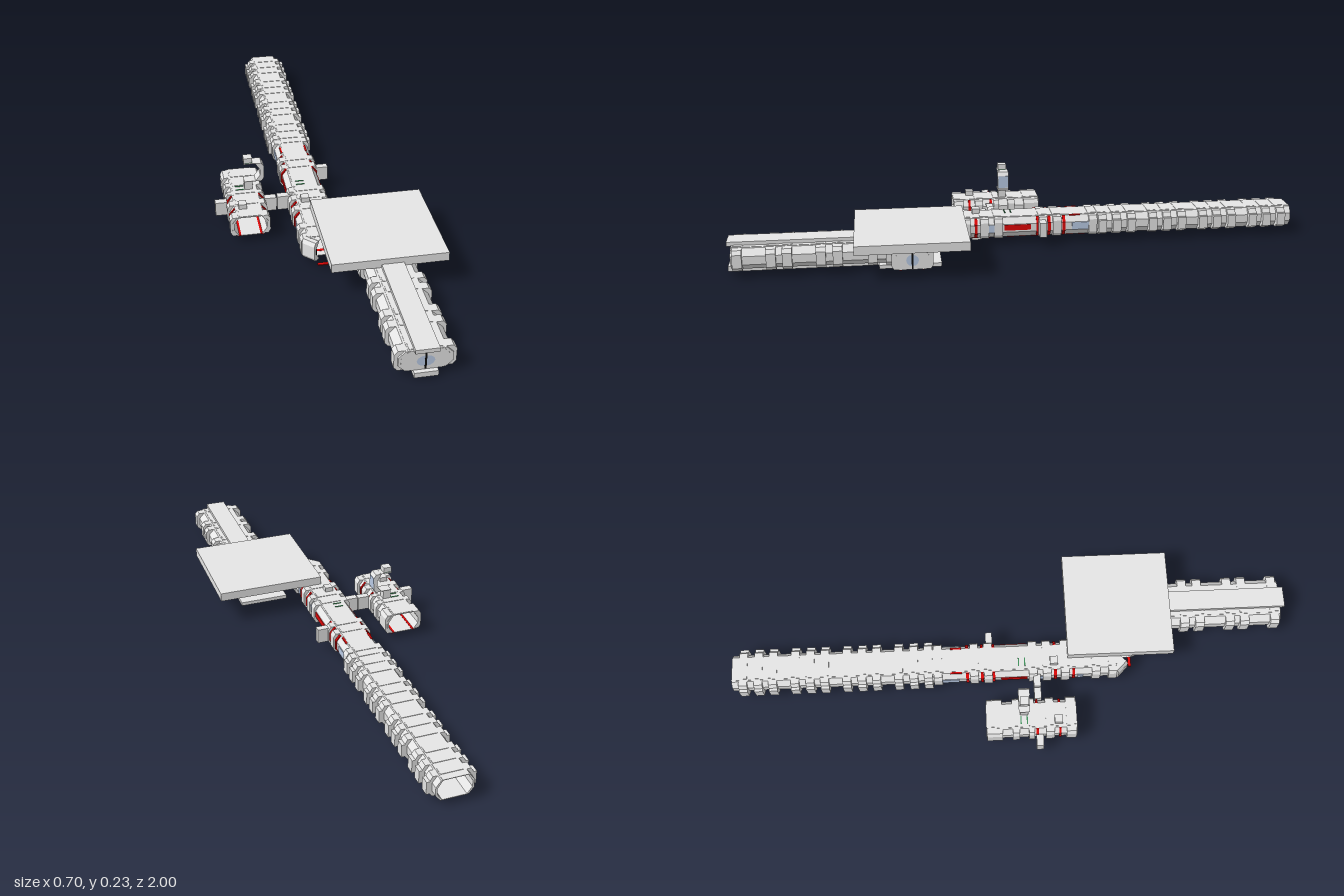
import * as THREE from 'three';

const paint = (name, color, side = THREE.FrontSide) => {
  const m = new THREE.MeshStandardMaterial({ color, side });
  m.name = name;
  return m;
};

export function createModel() {
  const root = new THREE.Group();
  root.name = 'modularStation';
  const grey = paint('hullGrey', 0xe6e6e6);
  const red = paint('markingRed', 0xe00606);
  const blue = paint('windowBlue', 0xbacbe6, THREE.DoubleSide);
  const black = paint('slitBlack', 0x0c0c0c);
  const green = paint('hatchGreen', 0x3f8f5a);
  const olive = paint('hatchOlive', 0x8a8432);

  // Box given by its limits on each axis
  const box = (parent, name, mat, x0, x1, y0, y1, z0, z1) => {
    const m = new THREE.Mesh(new THREE.BoxGeometry(x1 - x0, y1 - y0, z1 - z0), mat);
    m.position.set((x0 + x1) / 2, (y0 + y1) / 2, (z0 + z1) / 2);
    m.name = name;
    parent.add(m);
  };

  // Half cross-sections: thin wall skin, thick frame, and a band lying on the skin
  const inner = [[0.039, 0.026], [0.056, 0.05], [0.056, 0.072], [0.039, 0.098]];
  const outer = [[0.046, 0.098], [0.062, 0.076], [0.062, 0.047], [0.046, 0.026]];
  const skin = [...inner, ...outer];
  const frame = [...inner, [0.061, 0.098], [0.069, 0.085], [0.069, 0.039], [0.061, 0.026]];
  const strip = [...outer.slice().reverse(), [0.05, 0.098], [0.066, 0.078], [0.066, 0.045], [0.05, 0.026]];
  const wall = (parent, name, mat, pts, side, z0, z1, sx = 1) => {
    const shape = new THREE.Shape(pts.map(([x, y]) => new THREE.Vector2(side * sx * x, y)));
    const m = new THREE.Mesh(new THREE.ExtrudeGeometry(shape, { depth: z1 - z0, bevelEnabled: false }), mat);
    m.position.z = z0;
    m.name = name;
    parent.add(m);
  };
  // Frame rib on both walls with a raised panel across the ceiling
  const ring = (parent, z, w, sx = 1) => {
    [1, -1].forEach(s => wall(parent, 'frameRib', grey, frame, s, z - w / 2, z + w / 2, sx));
    box(parent, 'ceilingRib', grey, -0.037 * sx, 0.037 * sx, 0.098, 0.101, z - w / 2, z + w / 2);
  };
  const band = (parent, z, w) => [1, -1].forEach(s =>
    wall(parent, 'redBand', red, strip, s, z - w / 2, z + w / 2));
  const group = (name, x, z, turn = 0) => {
    const g = new THREE.Group();
    g.name = name;
    g.position.set(x, 0, z);
    g.rotation.y = turn;
    root.add(g);
    return g;
  };

  // Open tunnel: two walls, thin floor and thin ceiling
  const tunnel = (g, z0, z1, sx = 1) => {
    [1, -1].forEach(s => wall(g, 'tunnelWall', grey, skin, s, z0, z1, sx));
    box(g, 'tunnelFloor', grey, -0.041 * sx, 0.041 * sx, 0.025, 0.027, z0, z1);
    box(g, 'tunnelCeiling', grey, -0.041 * sx, 0.041 * sx, 0.0975, 0.0995, z0, z1);
  };
  // Red stripes along both floor edges, seen inside and underneath
  const redEdges = (g, z0, z1) => [1, -1].forEach(s =>
    box(g, 'redFloorEdge', red, s * 0.0385 - 0.0055, s * 0.0385 + 0.0055, 0.0242, 0.028, z0, z1));

  // Door: octagonal panel with oval window and central slit, facing +z or -z
  const door = (g, z, sx = 1, dir = 1) => {
    const pts = [...inner, ...inner.slice().reverse().map(([x, y]) => [-x, y])];
    const panel = new THREE.Mesh(new THREE.ExtrudeGeometry(
      new THREE.Shape(pts.map(([x, y]) => new THREE.Vector2(x * sx, y))),
      { depth: 0.004, bevelEnabled: false }), grey);
    panel.position.z = z - 0.002;
    panel.name = 'doorPanel';
    const pane = new THREE.Mesh(new THREE.CircleGeometry(1, 12), blue);
    pane.scale.set(0.021 * sx, 0.02, 1);
    pane.position.set(0, 0.058, z + dir * 0.0025);
    pane.name = 'doorWindow';
    g.add(panel, pane);
    const f = z + dir * 0.0025;
    box(g, 'doorSlit', black, -0.003, 0.003, 0.028, 0.09, f - 0.0006, f + 0.0006);
  };

  // Long corridor
  const main = group('mainCorridor', -0.027, 0);
  tunnel(main, -1, 0.38);
  redEdges(main, -0.25, 0.37);
  for (let i = 0; i < 4; i++) {
    const z = -0.96 + i * 0.185;
    [z, z + 0.054, z + 0.106].forEach(r => {
      ring(main, r, 0.03);
      [1, -1].forEach(s => box(main, 'ribBlock', grey, s * 0.07 - 0.01, s * 0.07 + 0.01, 0.037, 0.082, r - 0.015, r + 0.015));
    });
  }
  [-0.265, -0.135, -0.085, 0.075, 0.125, 0.19, 0.3, 0.36].forEach(z => ring(main, z, 0.03));
  [-0.16, -0.107, -0.066, 0.155, 0.22].forEach(z => band(main, z, 0.01));
  [1, -1].forEach(s => {
    box(main, 'redSideStripe', red, s * 0.0625 - 0.002, s * 0.0625 + 0.002, 0.054, 0.074, -0.04, 0.054);
    box(main, 'redRoofMark', red, s * 0.046 - 0.003, s * 0.046 + 0.003, 0.096, 0.1, -0.22, -0.18);
    [[-0.22, 0.06], [0.1, 0.02], [0.245, 0.02]].forEach(([z, w]) =>
      box(main, 'sideWindow', blue, s * 0.0625 - 0.002, s * 0.0625 + 0.002, 0.048, 0.075, z - w / 2, z + w / 2));
  });
  box(main, 'rightPort', grey, 0.06, 0.106, 0.037, 0.09, -0.092, -0.068);
  box(main, 'leftPort', grey, -0.105, -0.06, 0.037, 0.09, 0.075, 0.1);

  // Angled wall turning the corridor towards the cross tunnel
  const corner = group('cornerWall', -0.028, 0.35, Math.PI / 4);
  wall(corner, 'angledWall', grey, frame, -1, -0.025, 0.025);
  box(corner, 'angledCeiling', grey, -0.045, 0, 0.0975, 0.0994, -0.025, 0.025);
  box(corner, 'cornerSlit', black, -0.058, -0.054, 0.05, 0.072, 0.022, 0.026);

  // Hatches above and below a tunnel
  const hatch = (g, x, z, top) => {
    box(g, 'lowerHatch', grey, x - 0.015, x + 0.015, 0, 0.023, z - 0.015, z + 0.015);
    box(g, 'lowerHatchSeal', olive, x - 0.014, x + 0.014, 0.0225, 0.025, z - 0.014, z + 0.014);
    box(g, 'upperHatch', grey, x - 0.014, x + 0.014, 0.099, top, z - 0.014, z + 0.014);
  };
  hatch(main, -0.017, 0.15, 0.117);
  const roofMarks = (g, z) => [-0.011, 0.011].forEach(d =>
    box(g, 'roofMark', green, -0.03, 0, 0.099, 0.1015, z + d - 0.002, z + d + 0.002));
  roofMarks(main, 0.035);

  // Side module with ports and an upper chamber
  const side = group('sideModule', -0.243, 0);
  tunnel(side, -0.1, 0.22);
  redEdges(side, -0.1, 0.22);
  [[-0.07, 0.055], [0.005, 0.025], [0.06, 0.02], [0.125, 0.03], [0.2, 0.035]].forEach(([z, w]) => ring(side, z, w));
  [0.08, 0.16].forEach(z => band(side, z, 0.008));
  [1, -1].forEach(s => box(side, 'sidePort', grey, s * 0.0865 - 0.0205, s * 0.0865 + 0.0205, 0.037, 0.088, 0.075, 0.1));
  hatch(side, -0.019, 0.155, 0.117);
  hatch(side, 0.017, 0.035, 0.133);
  box(side, 'hatchSeal', olive, 0.002, 0.032, 0.1325, 0.1345, 0.02, 0.05);
  roofMarks(side, 0.034);
  const upper = new THREE.Group();
  upper.name = 'upperChamber';
  upper.position.set(0.002, 0.109, 0);
  side.add(upper);
  wall(upper, 'chamberWall', grey, frame, 1, 0.015, 0.055);
  box(upper, 'chamberWindow', blue, 0.067, 0.0705, 0.04, 0.084, 0.017, 0.053);
  box(upper, 'chamberFloor', grey, 0, 0.042, 0.0255, 0.027, 0.016, 0.054);
  box(upper, 'chamberCeiling', grey, 0, 0.042, 0.097, 0.0985, 0.016, 0.054);
  box(upper, 'chamberSeal', green, 0.001, 0.029, 0.0985, 0.1005, 0.021, 0.049);
  box(upper, 'chamberHatch', grey, 0, 0.03, 0.1005, 0.118, 0.02, 0.05);

  // Cross tunnel below the landing deck
  const cross = group('crossTunnel', 0, 0.39, Math.PI / 2);
  tunnel(cross, -0.015, 0.3);
  [[0.03, 0.018], [0.165, 0.17], [0.298, 0.01]].forEach(([z, w]) => ring(cross, z, w));
  [[-0.05, -0.015], [0.02, 0.04], [0.296, 0.302]].forEach(([a, b]) => redEdges(cross, a, b));
  box(cross, 'wallWindow', blue, 0.067, 0.0705, 0.042, 0.08, 0.082, 0.118);
  door(cross, 0.302);

  // Landing deck and the small plate under the hub
  box(root, 'landingDeck', grey, -0.034, 0.35, 0.1, 0.131, 0.2, 0.58);
  box(root, 'hubBasePlate', grey, 0.075, 0.25, 0.012, 0.025, 0.29, 0.5);

  // Wide front corridor with roof and keel strips
  const front = group('frontCorridor', 0.165, 0);
  tunnel(front, 0.33, 0.985, 1.34);
  [0.46, 0.52, 0.635, 0.69, 0.8, 0.853, 0.963].forEach(z => ring(front, z, 0.032, 1.37));
  box(front, 'roofStrip', grey, -0.037, 0.037, 0.098, 0.112, 0.5, 1);
  box(front, 'keelStrip', grey, -0.037, 0.037, 0.008, 0.026, 0.5, 1);
  door(front, 0.984, 1.34);
  door(front, 0.328, 1.34, -1);
  return root;
}
